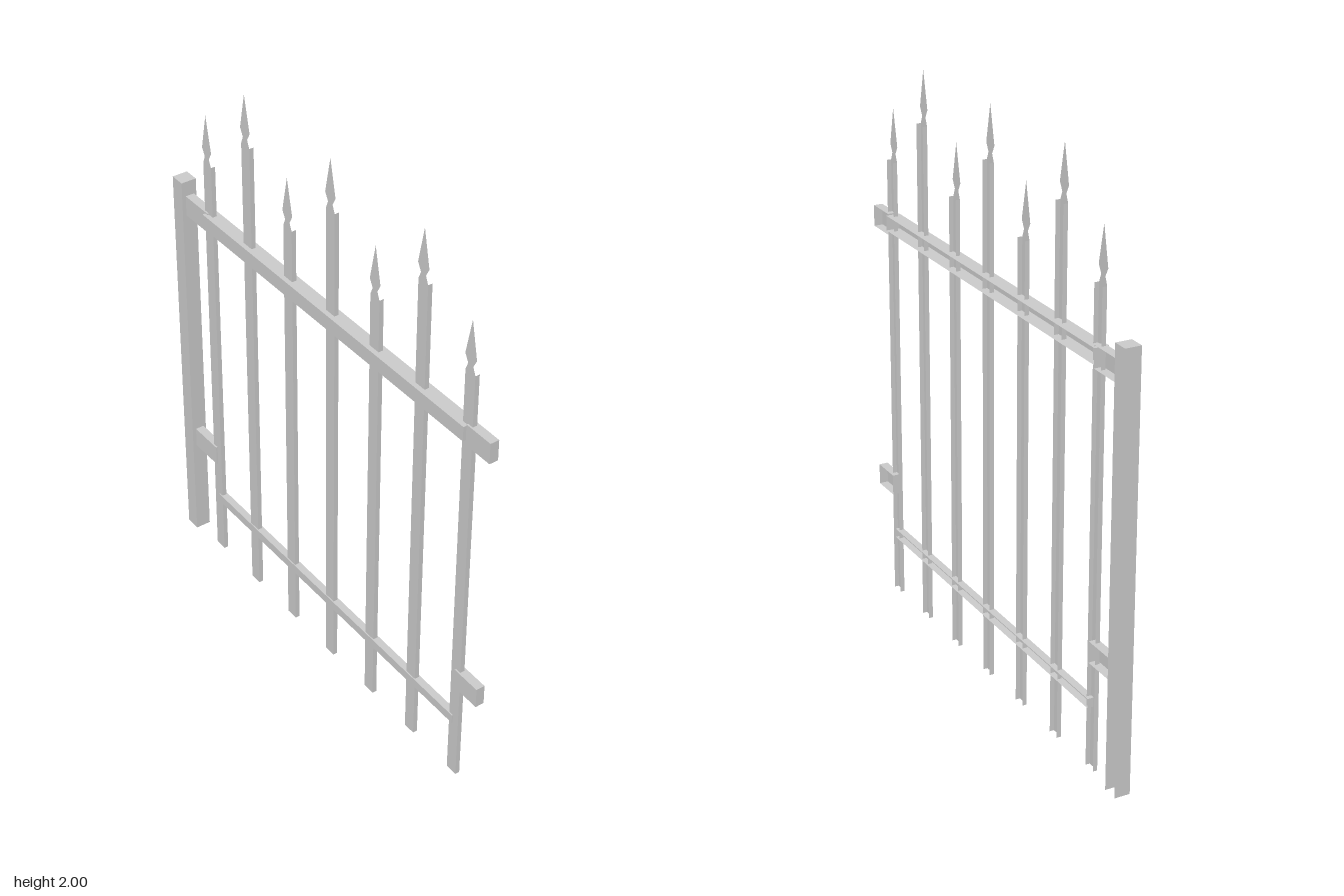
import * as THREE from 'three';

const metal = new THREE.MeshStandardMaterial({ color: 0xcccccc, side: THREE.DoubleSide, flatShading: true });
const SIDES = ['right', 'left', 'top', 'bottom', 'front', 'back'];

// Sheet-metal channel: a box keeping only the listed sides
function channel(name, [x0, x1], [y0, y1], [z0, z1], keep) {
  const geo = new THREE.BoxGeometry(x1 - x0, y1 - y0, z1 - z0);
  const index = Array.from(geo.index.array);
  geo.setIndex(index.filter((_, i) => keep.includes(SIDES[Math.floor(i / 6)])));
  geo.clearGroups();
  geo.translate((x0 + x1) / 2, (y0 + y1) / 2, (z0 + z1) / 2);
  const mesh = new THREE.Mesh(geo, metal);
  mesh.name = name;
  return mesh;
}

// Picket: flat front plate ending in a spear point, with two folded side strips
function picket(x, top) {
  const w = 0.023, d = 0.008;
  const half = [[w, 0], [w, top], [0.012, top + 0.027], [0.027, top + 0.055]];
  const outline = [...half, [0, top + 0.185], ...half.map(([px, py]) => [-px, py]).reverse()];
  const plate = new THREE.Mesh(
    new THREE.ShapeGeometry(new THREE.Shape(outline.map(p => new THREE.Vector2(...p)))), metal);
  plate.name = 'picketFront';
  plate.position.z = d;
  const group = new THREE.Group();
  group.name = 'picket';
  group.add(plate, channel('picketSides', [-w, w], [0, top], [-d, d], ['left', 'right']));
  group.position.x = x;
  return group;
}

export function createModel() {
  const gate = new THREE.Group();
  gate.name = 'gate';
  const openBack = ['right', 'left', 'top', 'bottom', 'front'];

  // Hinge post, open at the back and bottom
  gate.add(channel('post', [-0.845, -0.79], [0, 1.5], [-0.028, 0.028], ['right', 'left', 'top', 'front']));

  // Alternating short and tall pickets
  for (let i = 0; i < 7; i++) gate.add(picket(-0.657 + i * 0.231, i % 2 ? 1.815 : 1.63));

  // Horizontal rails
  gate.add(channel('topRail', [-0.67, 0.73], [1.387, 1.44], [-0.025, 0.025], openBack));
  gate.add(channel('bottomRail', [-0.65, 0.725], [0.217, 0.25], [-0.014, 0.012], openBack));

  // Hinge brackets on one side, latch brackets on the other
  for (const y of [1.37, 0.385]) {
    gate.add(channel('hingeBracket', [-0.79, -0.657], [y, y + 0.075], [-0.018, 0.014], openBack));
    gate.add(channel('latchBracket', [0.73, 0.842], [y, y + 0.075], [-0.018, 0.014], openBack));
  }
  return gate;
}
